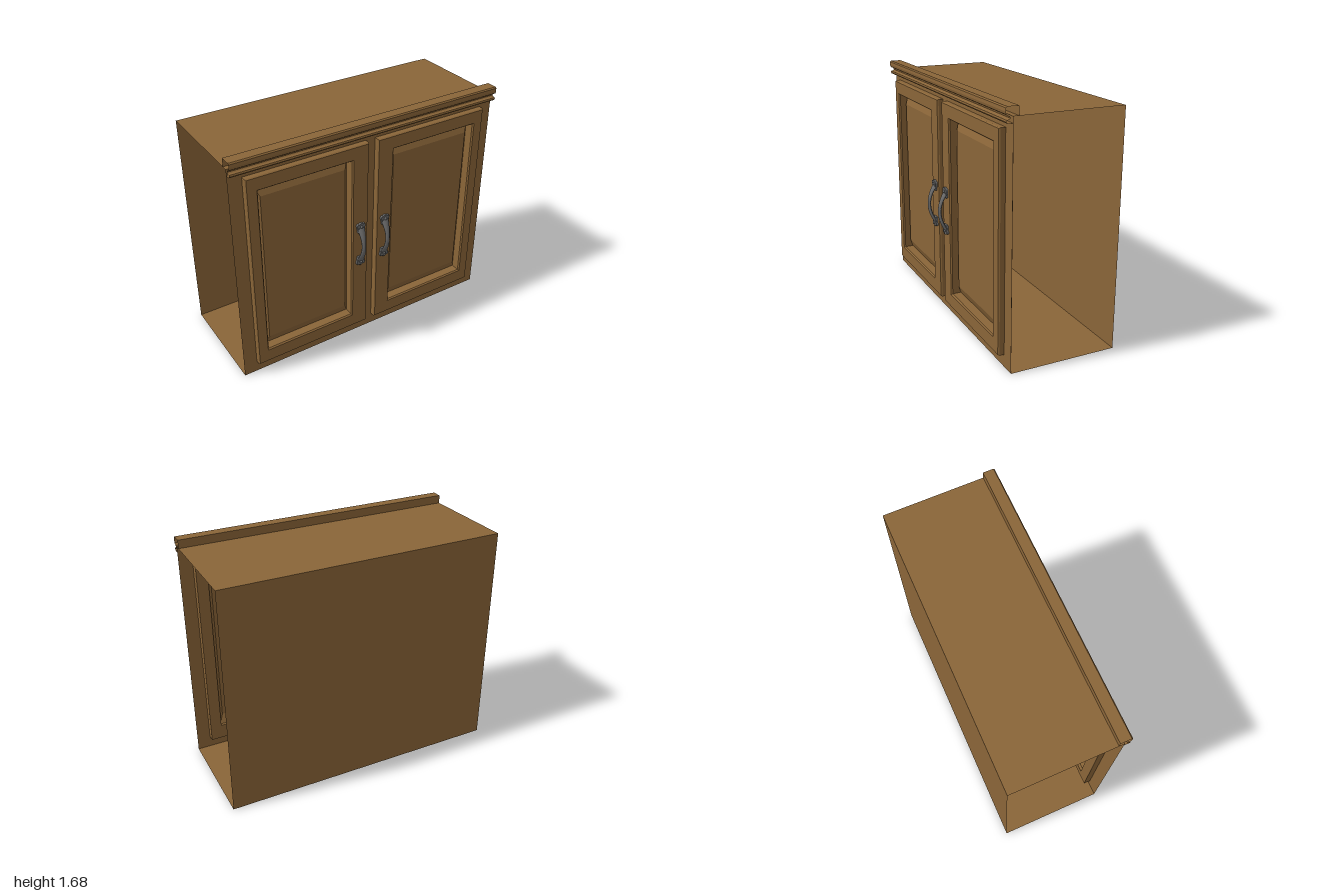
import * as THREE from 'three';

const wood = new THREE.MeshStandardMaterial({ color: 0x8a6538, side: THREE.DoubleSide });
const iron = new THREE.MeshStandardMaterial({ color: 0x6a6a6a, side: THREE.DoubleSide });

function add(parent, name, geometry, material) {
  const mesh = new THREE.Mesh(geometry, material);
  mesh.name = name;
  parent.add(mesh);
  return mesh;
}

// Joins a list of equally long rows of points with quads
function skin(rows, closed, smooth = false) {
  const n = rows[0].length, index = [];
  for (let i = 0; i < rows.length - 1; i++) {
    for (let k = 0; k < (closed ? n : n - 1); k++) {
      const a = i * n + k, b = i * n + (k + 1) % n;
      index.push(a, b, b + n, a, b + n, a + n);
    }
  }
  let g = new THREE.BufferGeometry();
  g.setAttribute('position', new THREE.Float32BufferAttribute(rows.flat(2), 3));
  g.setIndex(index);
  if (!smooth) g = g.toNonIndexed();
  g.computeVertexNormals();
  return g;
}

// Open sheet: a [z, y] outline drawn across the full width
const sheet = (outline) => skin([-1, 1].map((x) => outline.map(([z, y]) => [x, y, z])), false);

// Door extents: distances from the centre line, and heights
const DOOR = { near: 0.035, far: 0.905, low: 0.085, high: 1.54 };

// Rectangular loop inset from the door's outer edge
function doorLoop(side, near, far, low, high, z) {
  const xs = [side * (DOOR.near + near), side * (DOOR.far - far)].sort((a, b) => a - b);
  const y0 = DOOR.low + low, y1 = DOOR.high - high;
  return [[xs[0], y0, z], [xs[1], y0, z], [xs[1], y1, z], [xs[0], y1, z]];
}

function makeDoor(side) {
  const door = new THREE.Group();
  door.name = side > 0 ? 'leftDoor' : 'rightDoor';
  const even = (d, z) => doorLoop(side, d, d, d, d, z);
  const inner = (d, z) => doorLoop(side, 0.125 + d, 0.08 + d, 0.105 + d, 0.1 + d, z);
  // Mitred frame with a rounded-over outer edge and a small inner bead
  add(door, 'doorFrame', skin([
    inner(0, 0.29), inner(0, 0.27), even(0, 0.27), even(0, 0.352), even(0.006, 0.362),
    inner(-0.008, 0.362), inner(0, 0.352), inner(0, 0.29),
  ], true), wood);
  // Raised panel with bevelled edges
  const field = doorLoop(side, 0.155, 0.11, 0.17, 0.17, 0.318);
  add(door, 'doorPanelBevel', skin([inner(0, 0.29), field], true), wood);
  add(door, 'doorPanel', skin([[field[0], field[1]], [field[3], field[2]]], false), wood);
  return door;
}

function makeHandle(side) {
  const handle = new THREE.Group();
  handle.name = side > 0 ? 'leftHandle' : 'rightHandle';
  handle.position.set(side * 0.097, 0.79, 0);

  // Arched grip: narrow in the middle, flaring to the ends
  const rows = [];
  for (let i = 0; i <= 24; i++) {
    const t = i / 12 - 1;
    const y = t * 0.135, z = 0.368 + 0.046 * (1 - t * t);
    const w = 0.016 + 0.014 * t * t, d = 0.011;
    const tilt = Math.atan(-0.68 * t);
    const row = [];
    for (let k = 0; k < 12; k++) {
      const a = k / 12 * Math.PI * 2, r = d * Math.sin(a);
      row.push([w * Math.cos(a) * (1 - 0.3 * Math.sin(a)), y - r * Math.sin(tilt), z + r * Math.cos(tilt)]);
    }
    rows.push(row);
  }
  add(handle, 'grip', skin(rows, true, true), iron);

  // Scalloped mounting plates with domed screws
  const shape = new THREE.Shape();
  shape.moveTo(-0.022, -0.02);
  shape.quadraticCurveTo(-0.026, 0.01, -0.032, 0.03);
  shape.quadraticCurveTo(-0.03, 0.046, -0.016, 0.041);
  shape.quadraticCurveTo(0, 0.055, 0.016, 0.041);
  shape.quadraticCurveTo(0.03, 0.046, 0.032, 0.03);
  shape.quadraticCurveTo(0.026, 0.01, 0.022, -0.02);
  const plate = new THREE.ExtrudeGeometry(shape, {
    depth: 0.012, bevelEnabled: true, bevelThickness: 0.004, bevelSize: 0.002, bevelSegments: 2, curveSegments: 6,
  });
  const dome = new THREE.SphereGeometry(0.011, 14, 6, 0, Math.PI * 2, 0, Math.PI / 2).rotateX(Math.PI / 2);
  for (const end of [1, -1]) {
    const mount = add(handle, 'mountingPlate', plate, iron);
    mount.position.set(0, end * 0.121, 0.362);
    if (end < 0) mount.rotation.z = Math.PI;
    add(handle, 'screw', dome, iron).position.set(0, end * 0.143, 0.378);
  }
  return handle;
}

export function createModel() {
  const model = new THREE.Group();
  model.name = 'wallCabinet';

  // Floor, back and top as one open-ended sheet
  add(model, 'case', sheet([[0.32, 0], [-0.43, 0], [-0.43, 1.62], [0.32, 1.62]]), wood);

  // Face frame with an opening for each door
  const face = new THREE.Shape([[-1, 0], [1, 0], [1, 1.62], [-1, 1.62]].map((p) => new THREE.Vector2(...p)));
  for (const side of [-1, 1]) {
    face.holes.push(new THREE.Path(doorLoop(side, 0, 0, 0, 0, 0).map(([x, y]) => new THREE.Vector2(x, y))));
  }
  add(model, 'faceFrame', new THREE.ShapeGeometry(face).translate(0, 0, 0.32), wood);

  // Crown moulding, open at the ends
  add(model, 'crownMoulding', sheet([
    [0.283, 1.62], [0.283, 1.678], [0.358, 1.678], [0.366, 1.67], [0.368, 1.65], [0.364, 1.633],
    [0.354, 1.626], [0.342, 1.622], [0.338, 1.61], [0.345, 1.603], [0.36, 1.6],
    [0.364, 1.59], [0.358, 1.581], [0.32, 1.58],
  ]), wood);

  for (const side of [-1, 1]) model.add(makeDoor(side), makeHandle(side));
  return model;
}
